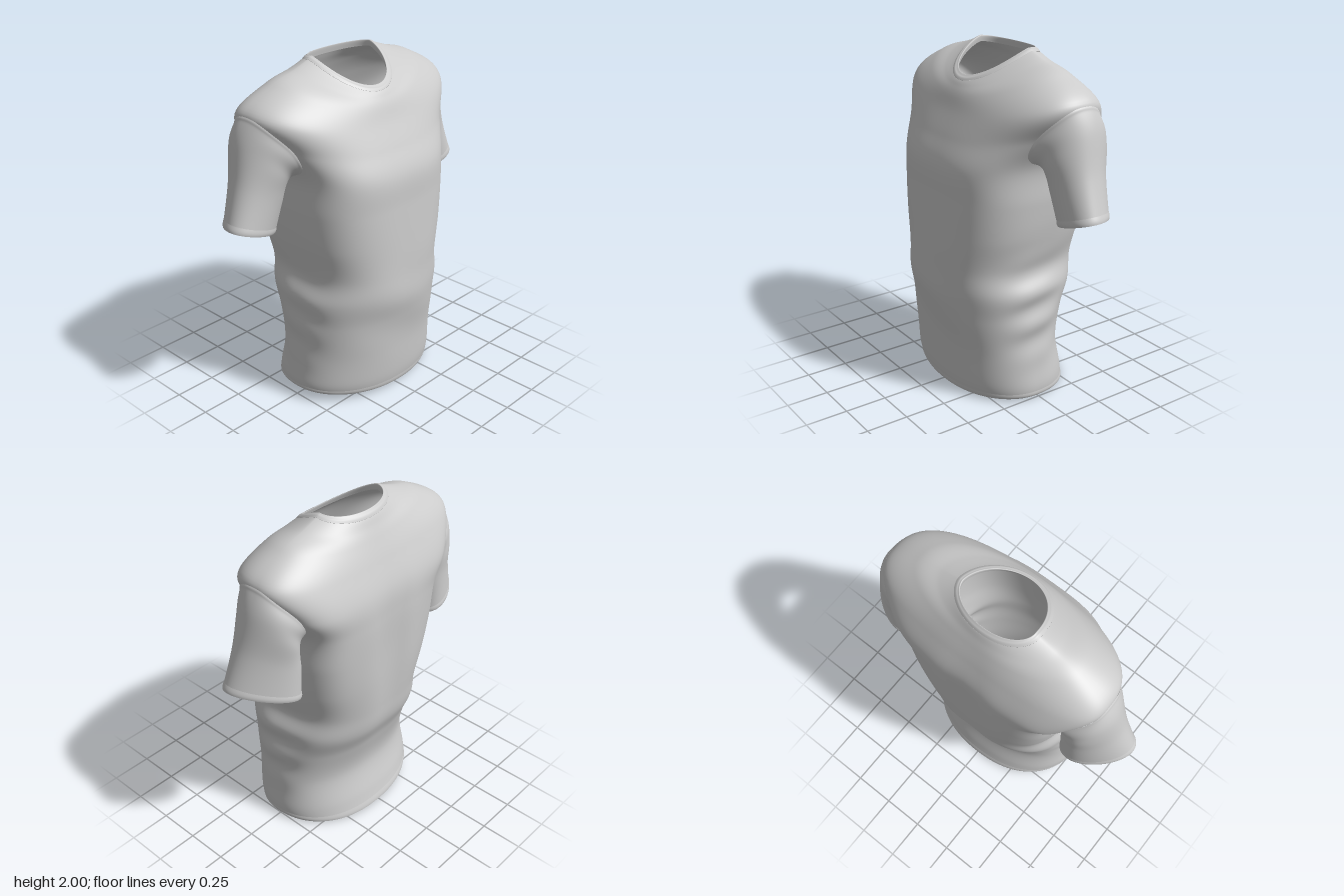
import * as THREE from 'three';

const cloth = new THREE.MeshStandardMaterial({ color: 0xcccccc, roughness: 0.9, side: THREE.DoubleSide });

// Shirt rings from hem to collar: side x, y, z | front y, z | back y, z | front and back roundness
const rings = [
  [0.51, 0.04, 0.02, 0.015, 0.355, 0.0, -0.37, 0.95, 0.9],
  [0.515, 0.11, 0.02, 0.10, 0.37, 0.1, -0.345, 0.92, 0.88],
  [0.495, 0.30, 0.02, 0.30, 0.385, 0.3, -0.30, 0.88, 0.85],
  [0.49, 0.50, 0.02, 0.50, 0.41, 0.5, -0.34, 0.86, 0.82],
  [0.49, 0.65, 0.01, 0.65, 0.43, 0.65, -0.395, 0.83, 0.78],
  [0.455, 0.80, 0.0, 0.80, 0.43, 0.80, -0.415, 0.77, 0.72],
  [0.49, 1.0, -0.03, 1.0, 0.42, 1.0, -0.43, 0.71, 0.66],
  [0.51, 1.2, -0.06, 1.2, 0.41, 1.2, -0.435, 0.67, 0.6],
  [0.52, 1.41, -0.08, 1.38, 0.40, 1.41, -0.435, 0.66, 0.54],
  [0.61, 1.58, -0.10, 1.53, 0.34, 1.57, -0.42, 0.76, 0.5],
  [0.71, 1.77, -0.10, 1.66, 0.28, 1.73, -0.36, 0.88, 0.72],
  [0.52, 1.90, -0.10, 1.745, 0.245, 1.84, -0.31, 0.95, 0.9],
  [0.36, 1.95, -0.10, 1.79, 0.22, 1.90, -0.28, 1, 1],
  [0.26, 1.985, -0.10, 1.818, 0.2, 1.945, -0.258, 1, 1],
  [0.228, 2.0, -0.10, 1.847, 0.168, 1.98, -0.232, 1, 1],
  [0.228, 1.965, -0.10, 1.818, 0.175, 1.94, -0.238, 1, 1],
];

function catmull(p0, p1, p2, p3, t) {
  const a = (p2 - p0) / 2, b = (p3 - p1) / 2, d = p1 - p2;
  return ((2 * d + a + b) * t + (-3 * d - 2 * a - b)) * t * t + a * t + p1;
}

// Smooth interpolation through a list of number rows
function rowAt(rows, v) {
  const n = rows.length - 1;
  const i = Math.min(Math.max(Math.floor(v), 0), n - 1);
  const r = (k) => rows[Math.min(Math.max(k, 0), n)];
  return rows[i].map((_, k) => catmull(r(i - 1)[k], r(i)[k], r(i + 1)[k], r(i + 2)[k], v - i));
}

const bump = (x, centre, width) => Math.exp(-(((x - centre) / width) ** 2));

// Point on the shirt body: angle 0 is the left side, PI/2 the front
function bodyPoint(angle, v) {
  const [sx, sy, sz, fy, fz, by, bz, frontRound, backRound] = rowAt(rings, v);
  const c = Math.cos(angle), s = Math.sin(angle);
  const front = s > 0;
  const round = front ? frontRound : backRound;
  // The drop from the sides gets rounder towards the scooped neck
  const scoop = 2 - 0.75 * THREE.MathUtils.smoothstep(v, 10, 13);
  let x = sx * Math.sign(c) * Math.abs(c) ** round;
  let y = sy + ((front ? fy : by) - sy) * Math.abs(s) ** scoop;
  let z = sz + ((front ? fz : bz) - sz) * Math.abs(s) ** round;
  // Spine groove and long soft folds down the back
  if (!front) z += bump(y, 1.15, 0.45) * s * s * (0.02 * bump(x, 0, 0.11) + 0.003 * Math.cos(x * 20));
  // Soft folds over the belly and bunching at the side seams
  const waist = bump(y, 0.55, 0.28);
  if (front) z += waist * s * s * 0.006 * Math.sin(13 * y + 7 * x);
  x += waist * c ** 15 * (c > 0 ? 0.012 : 0.006) * Math.sin(y * 30 + 5 * z);
  // The hem hangs a little lower on the left
  y -= 0.025 * c * bump(y, 0, 0.15);
  return new THREE.Vector3(x, y, z);
}

// Sheet closed around u (0..2PI), open along v (0..1); skip leaves holes
function sheet(name, point, nu, nv, flip = false, skip = () => false) {
  const pos = [], index = [];
  for (let j = 0; j <= nv; j++)
    for (let i = 0; i < nu; i++) pos.push(...point((i / nu) * Math.PI * 2, j / nv).toArray());
  for (let j = 0; j < nv; j++)
    for (let i = 0; i < nu; i++) {
      if (skip(((i + 0.5) / nu) * Math.PI * 2, (j + 0.5) / nv)) continue;
      const k = (i + 1) % nu;
      const a = j * nu + i, b = j * nu + k, c = a + nu, d = b + nu;
      if (flip) index.push(a, b, c, b, d, c);
      else index.push(a, c, b, b, c, d);
    }
  const geometry = new THREE.BufferGeometry();
  geometry.setAttribute('position', new THREE.Float32BufferAttribute(pos, 3));
  geometry.setIndex(index);
  geometry.computeVertexNormals();
  const mesh = new THREE.Mesh(geometry, cloth);
  mesh.name = name;
  return mesh;
}

// Armhole: an ellipse in the body's own angle and height
const armhole = { v: 9.04, height: 0.96, width: 0.43 };
const armholeEdge = (u, scale) =>
  bodyPoint(armhole.width * scale * Math.sin(u), armhole.v + armhole.height * scale * Math.cos(u));
function inArmhole(angle, v) {
  const a = Math.asin(Math.sin(angle));
  return Math.hypot(a / armhole.width, (v - armhole.v) / armhole.height) < 0.9;
}

// Sleeve loops after the armhole: centre x, y, z | reach x, y, z to the outer edge | half depth
const sleeveLoops = [
  [0.642, 1.51, -0.108, 0.122, 0.14, 0.0, 0.192],
  [0.667, 1.335, -0.115, 0.152, 0.085, 0.035, 0.17],
  [0.715, 1.133, -0.12, 0.185, 0.057, 0.065, 0.155],
];

// Left sleeve: u 0 is the outer edge, PI/2 the front; t runs armhole to cuff
function sleevePoint(u, t) {
  const c = Math.cos(u), s = Math.sin(u);
  // The first row lies on the body, so the sleeve leaves it smoothly
  const path = [armholeEdge(u, 1.25).toArray(), armholeEdge(u, 1).toArray()];
  for (const [x, y, z, ax, ay, az, depth] of sleeveLoops)
    path.push([x + ax * c, y + ay * c, z + az * c + depth * s * (1 - 0.12 * c)]);
  const p = new THREE.Vector3(...rowAt(path, 1 + t * 3));
  // Raised armhole seam and a few creases near the armpit
  p.x += 0.003 * bump(t, 0.03, 0.03);
  p.z += Math.sign(s) * s * s * 0.003 * Math.sin(t * 16 - 2 * c) * bump(t, 0.3, 0.25);
  return p;
}

export function createModel() {
  const shirt = new THREE.Group();
  shirt.name = 'tShirt';

  shirt.add(sheet('body', (u, t) => bodyPoint(u, t * 13), 160, 143, false, (u, t) => inArmhole(u, t * 13)));

  // Collar band, folded over at the neck edge
  shirt.add(sheet('collar', (u, t) => {
    const p = bodyPoint(u, 13 + 2 * t);
    p.y += 0.005 * bump(t, 0.12, 0.1);
    return p;
  }, 96, 16));

  // Hem band, slightly proud of the body
  shirt.add(sheet('hem', (u, t) => {
    const p = bodyPoint(u, t * 0.55);
    const swell = 1 + 0.006 * Math.sin(Math.PI * t);
    return p.multiply(new THREE.Vector3(swell, 1, swell));
  }, 160, 6));

  for (const side of [1, -1]) {
    const arm = new THREE.Group();
    arm.name = side > 0 ? 'leftSleeve' : 'rightSleeve';
    const mirror = new THREE.Vector3(side, 1, 1);
    arm.add(sheet('sleeve', (u, t) => sleevePoint(u, t).multiply(mirror), 72, 48, side > 0));
    // Cuff band around the sleeve opening
    arm.add(sheet('cuff', (u, t) => {
      const p = sleevePoint(u, 0.92 + 0.08 * t);
      const swell = 0.003 * Math.sin(Math.PI * t);
      p.x += swell * Math.cos(u);
      p.z += swell * Math.sin(u);
      return p.multiply(mirror);
    }, 72, 6, side > 0));
    shirt.add(arm);
  }
  return shirt;
}
